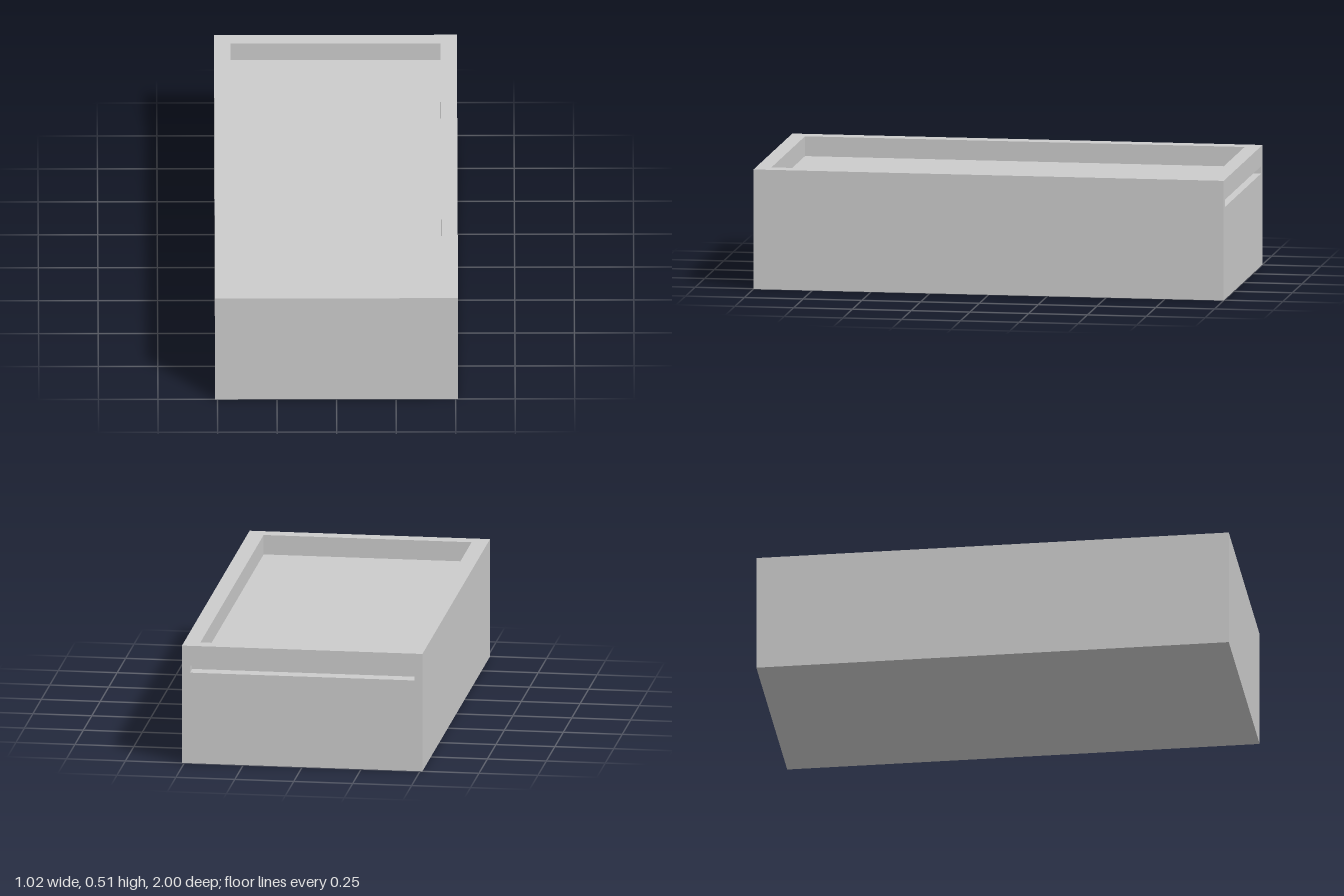
import * as THREE from 'three';
import { mergeGeometries } from 'three/addons/utils/BufferGeometryUtils.js';

// Each volume is [min corner, max corner] in x, y, z
const BODY = [[-0.51, 0, -1], [0.51, 0.508, 1]];
const SLOT = [[-0.476, 0.392, -1], [0.476, 0.423, -0.935]];
const RECESS = [[-0.441, 0.424, -0.935], [0.441, 0.508, 0.935]];

// Flat face of a volume, across one axis (0 x, 1 y, 2 z), on its min or max side.
// inward turns it to face the inside; hole cuts another volume's outline out of it.
function face(volume, axis, side, inward = false, hole = null) {
  const u = (axis + 1) % 3, v = (axis + 2) % 3;
  const outline = ([a, b]) => [[a[u], a[v]], [b[u], a[v]], [b[u], b[v]], [a[u], b[v]]]
    .map(([s, t]) => new THREE.Vector2(s, t));
  const shape = new THREE.Shape(outline(volume));
  if (hole) shape.holes.push(new THREE.Path(outline(hole)));
  const geometry = new THREE.ShapeGeometry(shape);

  const axes = [0, 1, 2].map((i) => new THREE.Vector3().setComponent(i, 1));
  const matrix = new THREE.Matrix4().makeBasis(axes[u], axes[v], axes[axis]);
  matrix.setPosition(axes[axis].clone().multiplyScalar(volume[side][axis]));
  geometry.applyMatrix4(matrix);

  if ((side === 1) === inward) geometry.index.array.reverse();
  geometry.computeVertexNormals();
  return geometry;
}

export function createModel() {
  const group = new THREE.Group();
  group.name = 'slidingLidBox';
  const material = new THREE.MeshStandardMaterial({ color: 0xcccccc });
  const add = (name, faces) => {
    const mesh = new THREE.Mesh(mergeGeometries(faces), material);
    mesh.name = name;
    group.add(mesh);
  };

  // Outer block, with the recess cut in the top and the lid slot in the back
  add('body', [
    face(BODY, 0, 0), face(BODY, 0, 1),
    face(BODY, 1, 0), face(BODY, 1, 1, false, RECESS),
    face(BODY, 2, 0, false, SLOT), face(BODY, 2, 1),
  ]);

  // Slot under the back rim, closed at its inner end by the edge of the lid
  add('lidSlot', [
    face(SLOT, 0, 0, true), face(SLOT, 0, 1, true),
    face(SLOT, 1, 0, true), face(SLOT, 1, 1, true),
    face(SLOT, 2, 1, true),
  ]);

  // Inner walls of the rim, down to the lid
  add('rimWalls', [
    face(RECESS, 0, 0, true), face(RECESS, 0, 1, true),
    face(RECESS, 2, 0, true), face(RECESS, 2, 1, true),
  ]);

  // Top of the closed lid, the floor of the recess
  add('lid', [face(RECESS, 1, 0, true)]);

  return group;
}
